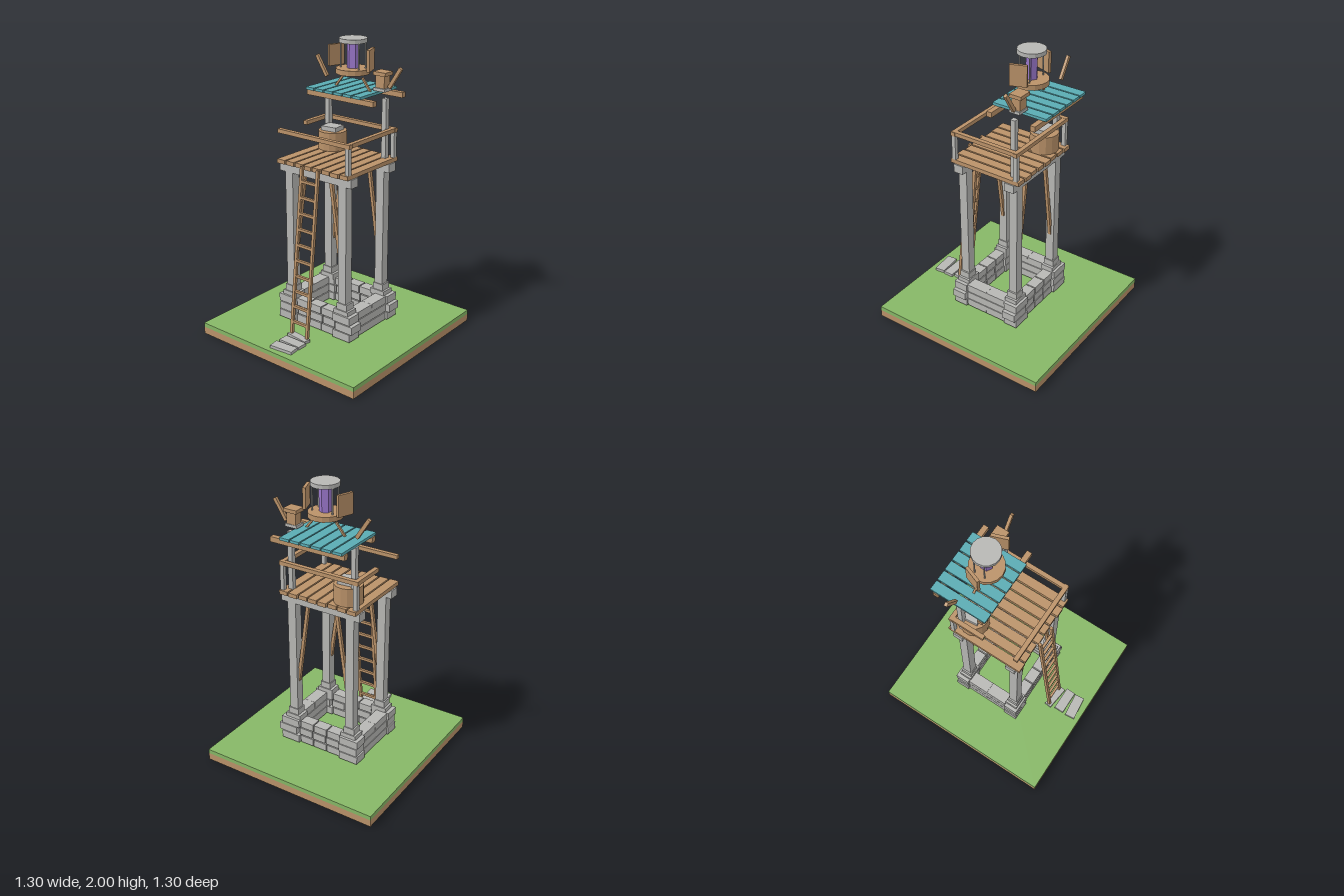
import * as THREE from 'three';

const mat = (name, color) => {
  const m = new THREE.MeshStandardMaterial({ color, flatShading: true });
  m.name = name;
  return m;
};

export function createModel() {
  const root = new THREE.Group();
  root.name = 'watchtower';
  const grass = mat('grass green', 0x86b766);
  const wood = mat('wood brown', 0xba9269);
  const stone = mat('stone grey', 0xb7b7b4);
  const teal = mat('roof teal', 0x5aabb3);
  const purple = mat('crystal purple', 0x9b78cc);

  const add = (name, geo, m, x, y, z) => {
    const mesh = new THREE.Mesh(geo, m);
    mesh.name = name;
    mesh.position.set(x, y, z);
    root.add(mesh);
    return mesh;
  };
  const box = (name, m, w, h, d, x, y, z, ry = 0) => {
    const b = add(name, new THREE.BoxGeometry(w, h, d), m, x, y, z);
    b.rotation.y = ry;
    return b;
  };
  const cyl = (name, m, r, h, n, x, y, z) =>
    add(name, new THREE.CylinderGeometry(r, r, h, n), m, x, y, z);
  // Square bar between two points
  const bar = (name, m, a, b, w, d = w) => {
    const p = new THREE.Vector3(...a), q = new THREE.Vector3(...b);
    const dir = q.clone().sub(p), c = p.clone().add(q).multiplyScalar(0.5);
    const mesh = add(name, new THREE.BoxGeometry(w, dir.length(), d), m, c.x, c.y, c.z);
    mesh.quaternion.setFromUnitVectors(new THREE.Vector3(0, 1, 0), dir.normalize());
    return mesh;
  };
  const sides = [-1, 1];

  // Ground slab
  box('soil', wood, 1.3, 0.05, 1.3, 0, 0.025, 0);
  box('grass', grass, 1.3, 0.03, 1.3, 0, 0.065, 0);

  // Stepping stones
  box('steppingStone', stone, 0.17, 0.02, 0.05, 0, 0.09, 0.41, -0.12);
  box('steppingStone', stone, 0.17, 0.02, 0.07, 0.014, 0.09, 0.487);
  box('steppingStone', stone, 0.17, 0.02, 0.072, 0.014, 0.09, 0.572, 0.1);

  // Stone footing: three courses around a hollow centre
  for (let row = 0; row < 3; row++) {
    const y = 0.118 + row * 0.06;
    const shift = row === 1 ? 0.02 : 0;
    for (const sz of sides) {
      for (const sx of sides) {
        const grow = sx > 0 ? shift : -shift;
        box('cornerStone', stone, 0.14, 0.054, 0.1, sx * 0.235 + (sx > 0 ? grow : -grow * 0.3), y, sz * 0.208);
      }
      for (const i of [-1, 0, 1])
        box('wallStone', stone, 0.1, 0.052, 0.075, i * 0.108 + shift * 0.5, y, sz * 0.205);
    }
    for (const sx of sides)
      for (const i of [-1, 1])
        box('sideWallStone', stone, 0.085, 0.054, 0.155, sx * 0.25, y, i * 0.078);
  }

  // Legs with stepped feet
  for (const sx of sides) for (const z of [0.2, -0.195]) {
    box('legFoot', stone, 0.115, 0.04, 0.09, sx * 0.222, 0.275, z);
    box('legCollar', stone, 0.08, 0.05, 0.075, sx * 0.224, 0.315, z);
    box('leg', stone, 0.062, 0.95, 0.062, sx * 0.222, 0.735, z);
    bar('brace', wood, [sx * 0.108, 1.17, z], [sx * 0.195, 0.56, z], 0.022);
  }
  for (const z of [0.2, -0.195])
    box('deckBeam', stone, 0.595, 0.058, 0.07, 0, 1.18, z);

  // Deck planks
  for (let i = 0; i < 8; i++)
    box('deckPlank', wood, 0.063, 0.028, 0.535 - (i % 3) * 0.008, -0.258 + i * 0.0737, 1.224, 0);

  // Railing, with the front left corner left open
  box('frontRail', wood, 0.59, 0.027, 0.03, 0, 1.423, 0.238);
  box('backRail', wood, 0.59, 0.027, 0.03, 0, 1.423, -0.235);
  box('sideRail', wood, 0.03, 0.027, 0.5, 0.275, 1.424, 0);
  box('shortSideRail', wood, 0.03, 0.027, 0.25, -0.278, 1.424, -0.125);
  for (const [x, z] of [[0.275, 0.238], [0.275, -0.235], [-0.275, -0.235]])
    box('railPost', stone, 0.028, 0.18, 0.028, x, 1.326, z);

  // Barrel and its stone lid
  cyl('barrel', wood, 0.096, 0.125, 14, -0.167, 1.3, -0.15);
  box('barrelLid', stone, 0.115, 0.03, 0.1, -0.166, 1.378, -0.148, 0.1);

  // Ladder
  for (const sx of sides)
    bar('ladderRail', wood, [sx * 0.066, 0.1, 0.402], [sx * 0.066, 1.235, 0.277], 0.02);
  for (let i = 0; i < 10; i++) {
    const y = 0.185 + i * 0.106;
    box('ladderRung', wood, 0.13, 0.018, 0.018, 0, y, 0.402 - (y - 0.1) * 0.11);
  }

  // Roof posts, beams and planks
  for (const sx of sides)
    box('roofPost', stone, 0.034, 0.4, 0.034, sx * 0.236, 1.435, -0.193);
  for (const z of [-0.03, -0.345])
    box('roofBeam', wood, 0.54, 0.035, 0.036, 0, 1.632, z);
  for (let i = 0; i < 6; i++)
    box('roofPlank', teal, 0.067, 0.018, 0.39, -0.231 + i * 0.0763, 1.661, -0.19);

  // Beacon: platform, crystal, rods, cap
  const cz = -0.155;
  cyl('beaconPlatform', wood, 0.112, 0.034, 16, 0, 1.789, cz);
  cyl('beaconCrystal', purple, 0.04, 0.16, 6, 0, 1.885, cz);
  cyl('beaconCap', stone, 0.092, 0.027, 16, 0, 1.9865, cz);
  for (const sx of sides) {
    for (const sz of sides)
      cyl('beaconRod', stone, 0.005, 0.17, 6, sx * 0.074, 1.89, cz + sz * 0.035);
    // Shutters and struts around the beacon
    box('shutter', wood, 0.02, 0.14, 0.112, sx * 0.14, 1.875, cz, sx * 0.35);
    bar('platformStrut', wood, [sx * 0.142, 1.668, cz], [sx * 0.076, 1.75, cz], 0.013);
    bar('outerStrut', wood, [sx * 0.257, 1.705, -0.204], [sx * 0.342, 1.838, -0.204], 0.024, 0.02);
  }

  // Small hanging lantern
  box('lanternBase', stone, 0.09, 0.02, 0.075, 0.203, 1.688, -0.2);
  box('lanternBody', wood, 0.068, 0.085, 0.06, 0.203, 1.738, -0.203);
  box('lanternLid', wood, 0.097, 0.024, 0.085, 0.202, 1.79, -0.206);

  return root;
}
